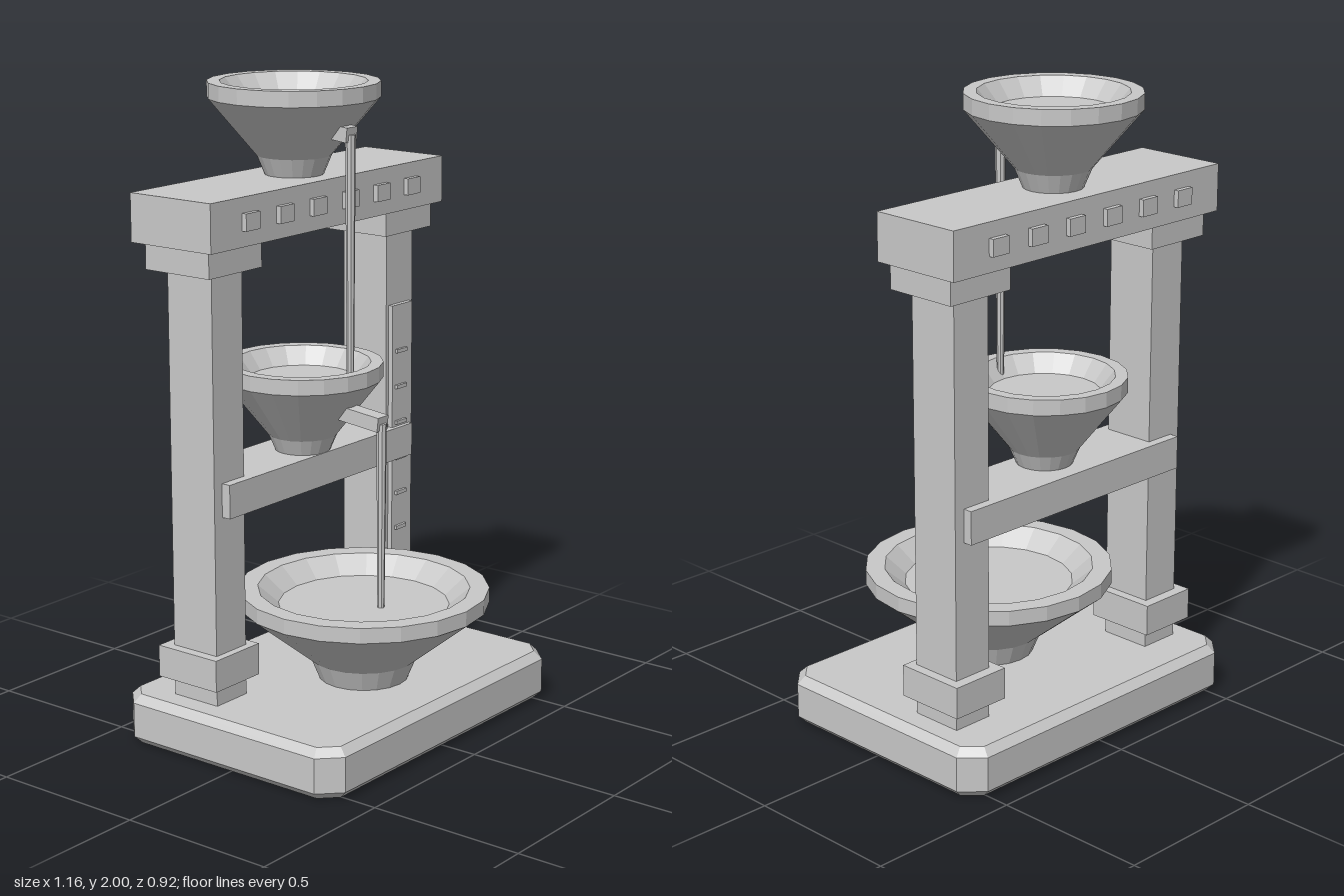
import * as THREE from 'three';

const stone = new THREE.MeshStandardMaterial({ color: 0xc8c8c8, flatShading: true });
stone.name = 'light grey';

function add(parent, name, geometry) {
  const mesh = new THREE.Mesh(geometry, stone);
  mesh.name = name;
  parent.add(mesh);
  return mesh;
}

// Box given by its extents on each axis
function box(parent, name, x0, x1, y0, y1, z0, z1) {
  const mesh = add(parent, name, new THREE.BoxGeometry(x1 - x0, y1 - y0, z1 - z0));
  mesh.position.set((x0 + x1) / 2, (y0 + y1) / 2, (z0 + z1) / 2);
  return mesh;
}

// Bevelled slab with cut corners
function addBase(parent) {
  const bevel = 0.025, w = 0.578 - bevel, d = 0.419 - bevel, c = 0.05;
  const shape = new THREE.Shape([
    [-w + c, -d], [w - c, -d], [w, -d + c], [w, d - c],
    [w - c, d], [-w + c, d], [-w, d - c], [-w, -d + c],
  ].map(([x, y]) => new THREE.Vector2(x, y)));
  const geometry = new THREE.ExtrudeGeometry(shape, {
    depth: 0.16 - 2 * bevel, bevelEnabled: true, bevelSegments: 1,
    bevelThickness: bevel, bevelSize: bevel,
  });
  geometry.rotateX(-Math.PI / 2);
  add(parent, 'base', geometry).position.set(0, bevel, -0.017);
}

// Footed bowl with a vertical rim, filled with a flat disc of water
function addBowl(parent, name, z, b) {
  const group = new THREE.Group();
  group.name = name;
  group.position.z = z;
  const profile = [
    [0, b.bottom], [b.foot, b.bottom], [b.neck, b.neckY], [b.rim, b.top - 0.048],
    [b.rim, b.top], [b.inner, b.top], [b.water, b.top - 0.055],
  ].map(([x, y]) => new THREE.Vector2(x, y));
  add(group, 'bowl', new THREE.LatheGeometry(profile, 20));
  const disc = new THREE.CircleGeometry(b.water, 20, Math.PI / 2);
  disc.rotateX(-Math.PI / 2);
  add(group, 'water', disc).position.y = b.top - 0.055;
  parent.add(group);
}

// Tilted spout and the stream falling from its tip
function addSpout(parent, tipZ, tipY, length, endY) {
  const tilt = 0.1;
  const spout = add(parent, 'spout', new THREE.BoxGeometry(0.052, 0.045, length));
  spout.position.set(0, tipY + Math.sin(tilt) * length / 2, tipZ - length / 2);
  spout.rotation.x = tilt;
  const stream = add(parent, 'stream', new THREE.CylinderGeometry(0.016, 0.011, tipY - endY, 8));
  stream.position.set(0, (tipY + endY) / 2, tipZ - 0.005);
}

export function createModel() {
  const model = new THREE.Group();
  model.name = 'waterClock';

  addBase(model);

  // Columns with plinths and capitals
  for (const side of [-1, 1]) {
    const column = new THREE.Group();
    column.name = side < 0 ? 'rightColumn' : 'leftColumn';
    column.position.x = side * 0.42;
    box(column, 'shaft', -0.068, 0.068, 0.15, 1.52, -0.28, -0.11);
    box(column, 'plinth', -0.1, 0.1, 0.22, 0.32, -0.315, -0.085);
    box(column, 'capital', -0.118, 0.118, 1.49, 1.57, -0.32, -0.075);
    model.add(column);
  }

  // Top beam with studs on both faces, and the middle shelf
  box(model, 'topBeam', -0.56, 0.56, 1.57, 1.717, -0.355, -0.047);
  for (let i = 0; i < 6; i++) {
    const x = (i - 2.5) * 0.156;
    box(model, 'frontStud', x - 0.032, x + 0.032, 1.618, 1.67, -0.06, -0.031);
    box(model, 'backStud', x - 0.032, x + 0.032, 1.618, 1.67, -0.371, -0.34);
  }
  box(model, 'shelf', -0.453, 0.453, 0.75, 0.855, -0.31, -0.08);

  // Measuring scale on the left column
  box(model, 'scalePlate', 0.365, 0.468, 0.21, 1.255, -0.13, -0.094);
  for (let i = 0; i < 7; i++) {
    const y = 0.397 + i * 0.118;
    box(model, 'scaleTick', 0.38, 0.432, y - 0.006, y + 0.006, -0.1, -0.085);
  }

  // Three bowls
  addBowl(model, 'upperBowl', -0.197, {
    top: 2, rim: 0.264, inner: 0.225, water: 0.18, neck: 0.115, neckY: 1.775, foot: 0.09, bottom: 1.715,
  });
  addBowl(model, 'middleBowl', -0.168, {
    top: 1.135, rim: 0.251, inner: 0.213, water: 0.17, neck: 0.108, neckY: 0.905, foot: 0.085, bottom: 0.85,
  });
  addBowl(model, 'lowerBowl', 0.073, {
    top: 0.452, rim: 0.39, inner: 0.33, water: 0.266, neck: 0.168, neckY: 0.225, foot: 0.14, bottom: 0.158,
  });

  // Spouts and falling water
  addSpout(model, 0.025, 1.855, 0.11, 1.07);
  addSpout(model, 0.145, 0.985, 0.19, 0.39);

  return model;
}
